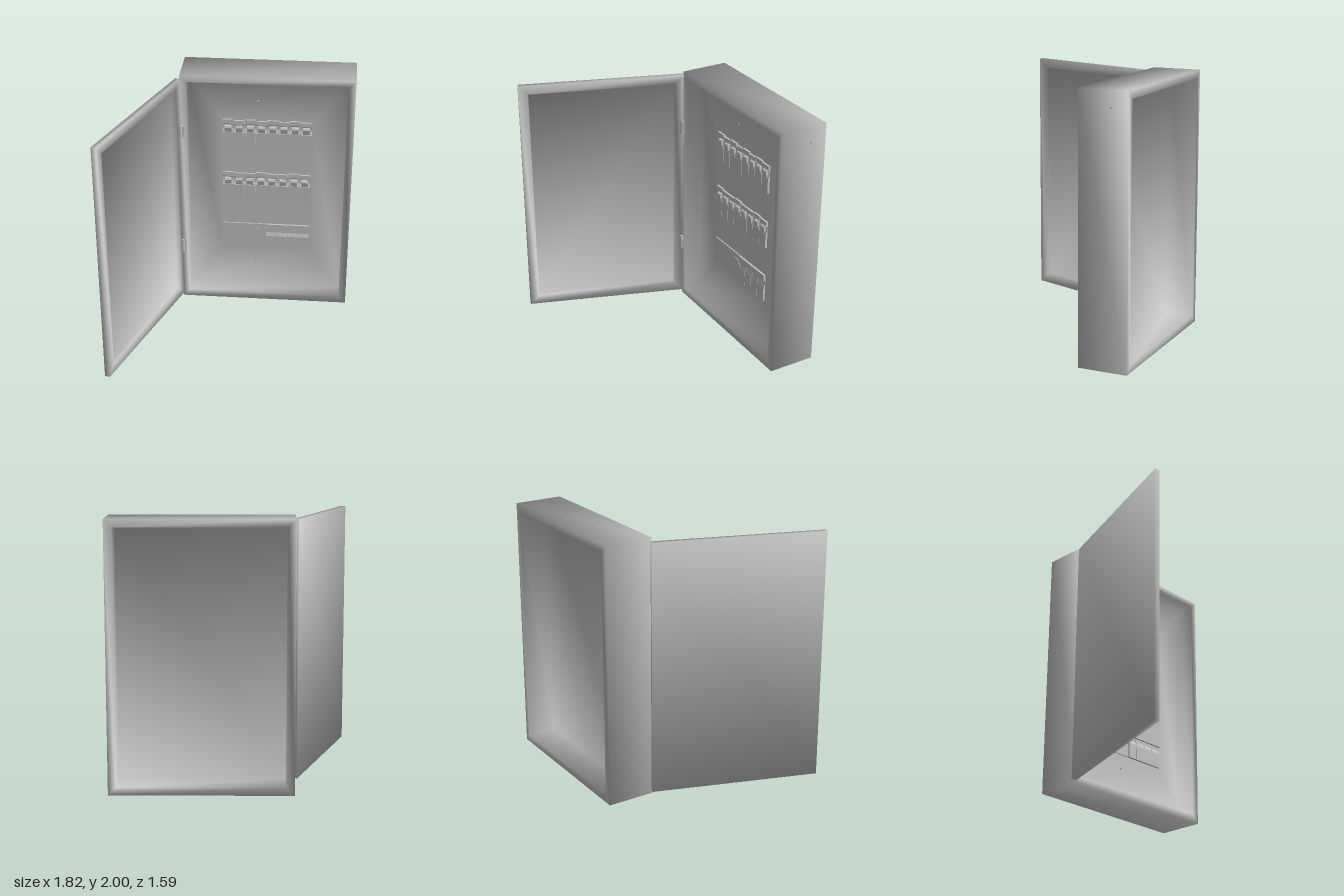
import * as THREE from 'three';

const grey = new THREE.MeshStandardMaterial({ color: 0xc0c0c0 });
grey.name = 'painted grey steel';

// Smooth shell through nested rectangles [x0, x1, y0, y1, z], capped at both ends
function rectLoft(rings) {
  const pts = [], idx = [];
  for (const [x0, x1, y0, y1, z] of rings) {
    for (const [x, y] of [[x0, y0], [x1, y0], [x1, y1], [x0, y1]]) {
      pts.push(new THREE.Vector3(x, y, z));
    }
  }
  for (let r = 0; r < rings.length - 1; r++) {
    for (let i = 0; i < 4; i++) {
      const j = (i + 1) % 4, a = r * 4, b = a + 4;
      idx.push(a + i, a + j, b + j, a + i, b + j, b + i);
    }
  }
  const e = pts.length - 4;
  idx.push(0, 2, 1, 0, 3, 2, e, e + 1, e + 2, e, e + 2, e + 3);

  // Every face counts equally, so wide panels shade softly towards their rims
  const normals = pts.map(() => new THREE.Vector3());
  const tri = new THREE.Triangle(), n = new THREE.Vector3();
  for (let k = 0; k < idx.length; k += 3) {
    const corners = idx.slice(k, k + 3);
    tri.set(...corners.map((c) => pts[c])).getNormal(n);
    corners.forEach((c) => normals[c].add(n));
  }
  normals.forEach((v) => v.normalize());

  const g = new THREE.BufferGeometry().setFromPoints(pts);
  g.setAttribute('normal', new THREE.Float32BufferAttribute(normals.flatMap((v) => v.toArray()), 3));
  g.setIndex(idx);
  return g;
}

function add(parent, name, geometry, x = 0, y = 0, z = 0) {
  const m = new THREE.Mesh(geometry, grey);
  m.name = name;
  m.position.set(x, y, z);
  parent.add(m);
  return m;
}

// Side profile (protrusion, height) extruded across the width of one module
function profileBlock(points, width) {
  const shape = new THREE.Shape(points.map(([u, v]) => new THREE.Vector2(u, v)));
  const g = new THREE.ExtrudeGeometry(shape, { depth: width, bevelEnabled: false });
  g.rotateY(-Math.PI / 2);
  g.translate(width, 0, 0);
  return g;
}

export function createModel() {
  const model = new THREE.Group();
  model.name = 'electricalPanel';
  const panelZ = -0.56, frontZ = -0.422, left = -0.135, pitch = 0.0885, gap = 0.004;

  // Cabinet: hollow frame with a thin mounting plate, open in front and behind
  add(model, 'cabinet', rectLoft([
    [-0.395, 0.84, 0.06, 1.94, panelZ - 0.015],
    [-0.395, 0.84, 0.06, 1.94, -0.797],
    [-0.455, 0.898, 0, 2, -0.797],
    [-0.455, 0.898, 0, 2, frontZ],
    [-0.405, 0.842, 0.06, 1.95, frontZ],
    [-0.405, 0.842, 0.06, 1.95, panelZ],
    [left, 0.573, 0.42, 1.59, panelZ],
  ]));

  // Open door: a thin sheet with a raised rim around its inner face
  const door = new THREE.Group();
  door.name = 'door';
  door.position.set(-0.468, 0, -0.437);
  door.rotation.y = 1.236;
  add(door, 'doorLeaf', rectLoft([
    [-1.297, 0, 0.025, 1.97, -0.02],
    [-1.297, 0, 0.025, 1.97, 0.02],
    [-1.222, -0.08, 0.1, 1.9, 0.02],
    [-1.222, -0.08, 0.1, 1.9, -0.016],
  ]));
  model.add(door);

  // Hinges
  for (const y of [0.495, 1.53]) {
    add(model, 'hingeBarrel', new THREE.CylinderGeometry(0.014, 0.014, 0.11, 10), -0.452, y, -0.412);
    add(model, 'hingePlate', new THREE.BoxGeometry(0.03, 0.09, 0.006), -0.44, y, frontZ + 0.003);
  }

  // Two rows of eight breakers, with an angled body, a pocket and a toggle
  const body = profileBlock([
    [-0.01, 0], [0.016, 0], [0.018, 0.12], [0.004, 0.15],
    [0.004, 0.18], [0.016, 0.19], [0.016, 0.225], [-0.01, 0.225],
  ], pitch - gap);
  const toggle = profileBlock([
    [0, 0.11], [0.016, 0.125], [0.026, 0.165], [0.02, 0.178], [0, 0.185],
  ], pitch * 0.6);
  for (const [row, y] of [[0, 1.355], [1, 0.89]]) {
    for (let i = 0; i < 8; i++) {
      const x = left + i * pitch;
      const raised = row === 0 ? i % 2 === 0 : i % 3 === 0;
      const b = add(model, 'breaker', body, x + gap / 2, y, panelZ);
      if (raised) b.scale.y = 1.04;
      add(model, 'breakerToggle', toggle, x + pitch * 0.2, y, panelZ);
    }
  }

  // Bottom row: blank cover, then four breakers under a shared strip
  add(model, 'blankCover', new THREE.BoxGeometry(0.352, 0.23, 0.02), left + 0.176, 0.535, panelZ);
  const shortBody = profileBlock([
    [-0.01, 0], [0.016, 0], [0.016, 0.12], [0.004, 0.15], [0.004, 0.19], [-0.01, 0.19],
  ], pitch - gap);
  for (let i = 4; i < 8; i++) {
    add(model, 'lowerBreaker', shortBody, left + i * pitch + gap / 2, 0.42, panelZ);
  }
  add(model, 'coverStrip', new THREE.BoxGeometry(0.352, 0.05, 0.02), 0.397, 0.625, panelZ + 0.008);
  add(model, 'coverTab', new THREE.BoxGeometry(0.07, 0.035, 0.02), 0.178, 0.59, panelZ + 0.005);

  // Small screws on the panel and the side wall
  const screw = new THREE.ConeGeometry(0.016, 0.012, 3);
  for (const y of [0.305, 1.75]) {
    add(model, 'panelScrew', screw, 0.14, y, panelZ + 0.006).rotation.x = Math.PI / 2;
  }
  add(model, 'sideScrew', screw, 0.904, 1.88, -0.67).rotation.z = -Math.PI / 2;

  return model;
}
